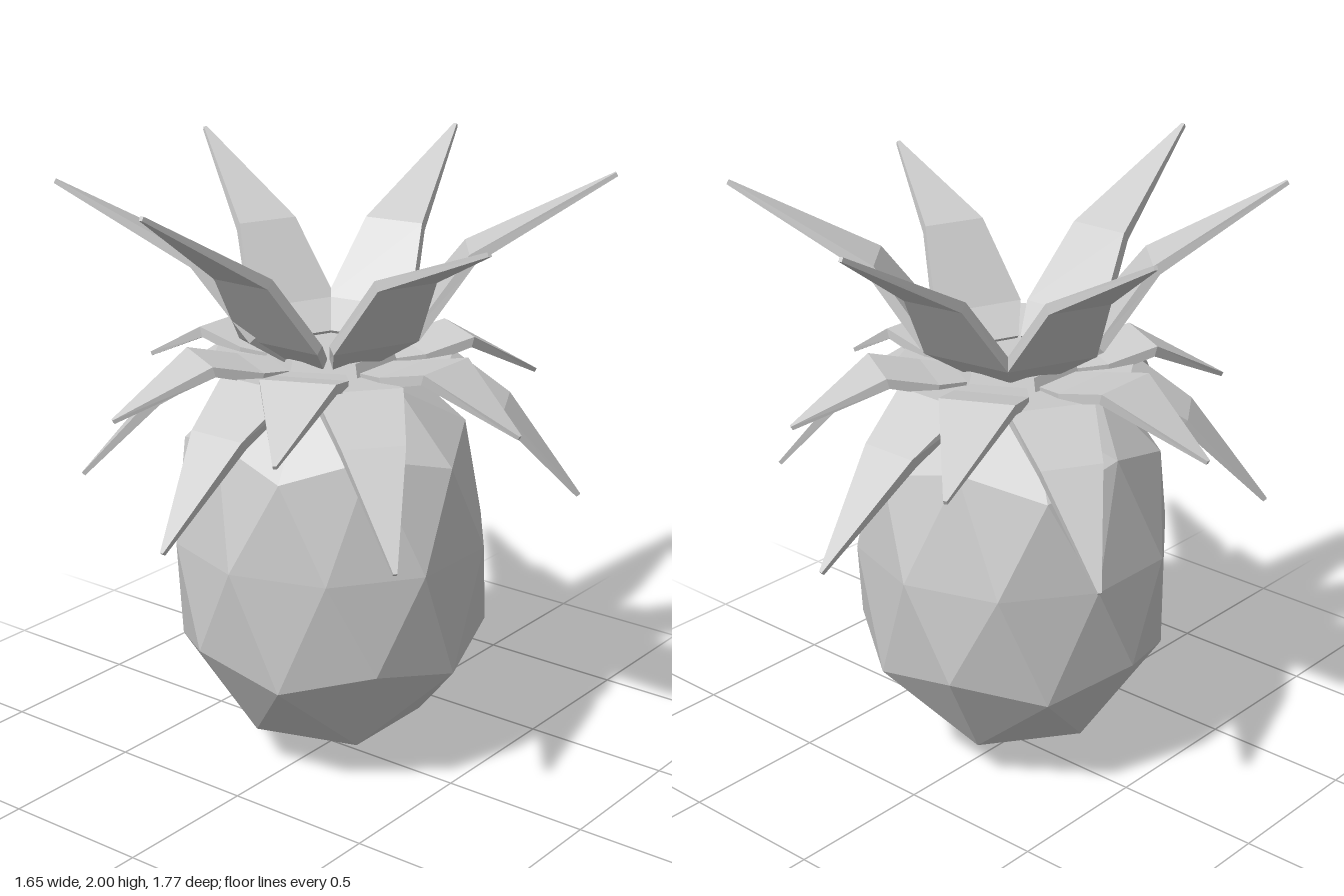
import * as THREE from 'three';

const material = new THREE.MeshStandardMaterial({ color: 0xcccccc, flatShading: true });

// Egg-shaped faceted fruit: a pole-up icosphere whose rings are moved to a profile
function bodyGeometry() {
  const g = new THREE.IcosahedronGeometry(1, 1);
  g.rotateZ(-Math.atan(2 / (1 + Math.sqrt(5))));
  // [sphere height, new height, new radius]
  const rings = [
    [-1, 0, 0], [-0.851, 0.13, 0.3], [-0.526, 0.4, 0.5], [-0.447, 0.47, 0.515], [0, 0.79, 0.525],
    [0.447, 1.1, 0.48], [0.526, 1.17, 0.435], [0.851, 1.32, 0.27], [1, 1.37, 0],
  ];
  const p = g.attributes.position;
  for (let i = 0; i < p.count; i++) {
    const x = p.getX(i), y = p.getY(i), z = p.getZ(i);
    const ring = rings.reduce((a, b) => (Math.abs(b[0] - y) < Math.abs(a[0] - y) ? b : a));
    const k = ring[2] / (Math.hypot(x, z) || 1);
    p.setXYZ(i, x * k, ring[1], z * k);
  }
  g.computeVertexNormals();
  return g;
}

// Bent, tapering blade along +z; profile rows are [reach, height, half width]
function leafGeometry(profile, thickness) {
  const corners = profile.map(([r, y, w], i) => {
    const a = profile[Math.max(i - 1, 0)], b = profile[Math.min(i + 1, profile.length - 1)];
    const len = Math.hypot(b[0] - a[0], b[1] - a[1]);
    const t = i === profile.length - 1 ? thickness * 0.4 : thickness;
    const dz = ((b[1] - a[1]) / len) * t, dy = (-(b[0] - a[0]) / len) * t;
    return [[-w, y, r], [w, y, r], [w, y + dy, r + dz], [-w, y + dy, r + dz]];
  });
  const v = [];
  const tri = (...pts) => pts.forEach((q) => v.push(...q));
  for (let i = 0; i < corners.length - 1; i++) {
    const a = corners[i], b = corners[i + 1];
    for (let j = 0; j < 4; j++) {
      const k = (j + 1) % 4;
      tri(a[j], b[j], a[k]);
      tri(a[k], b[j], b[k]);
    }
  }
  const s = corners[0], e = corners[corners.length - 1];
  tri(s[0], s[1], s[2]); tri(s[0], s[2], s[3]);
  tri(e[0], e[2], e[1]); tri(e[0], e[3], e[2]);
  const g = new THREE.BufferGeometry();
  g.setAttribute('position', new THREE.Float32BufferAttribute(v, 3));
  g.computeVertexNormals();
  return g;
}

// A tier of leaves sharing a profile, each ending at its own tip [x, y, z]
function leafTier(name, profile, tips, thickness) {
  const tier = new THREE.Group();
  tier.name = name;
  tips.forEach(([x, y, z]) => {
    const leaf = new THREE.Mesh(
      leafGeometry([...profile, [Math.hypot(x, z), y, 0.006]], thickness), material);
    leaf.rotation.y = Math.atan2(x, z);
    leaf.name = name.replace('Leaves', 'Leaf');
    tier.add(leaf);
  });
  return tier;
}

export function createModel() {
  const group = new THREE.Group();
  group.name = 'pineapple';

  const body = new THREE.Mesh(bodyGeometry(), material);
  body.name = 'fruitBody';
  group.add(body);

  // Core that the leaves grow from
  const core = new THREE.Mesh(new THREE.CylinderGeometry(0.2, 0.24, 0.12, 6), material);
  core.position.y = 1.35;
  core.name = 'crownCore';
  group.add(core);

  // Tall leaves rising outward
  group.add(leafTier('upperLeaves',
    [[0.14, 1.42, 0.09], [0.25, 1.5, 0.155], [0.43, 1.74, 0.105]],
    [[0.01, 2, 0.88], [0.81, 1.91, 0.32], [0.7, 1.98, -0.55],
      [-0.14, 1.99, -0.88], [-0.82, 1.98, -0.34], [-0.61, 1.98, 0.6]], 0.035));

  // Short leaves that arch and dip slightly
  group.add(leafTier('middleLeaves',
    [[0.12, 1.37, 0.07], [0.28, 1.39, 0.12], [0.45, 1.43, 0.12]],
    [[0.73, 1.26, 0], [0.31, 1.26, 0.67], [-0.36, 1.26, 0.65],
      [-0.77, 1.26, 0.02], [-0.37, 1.26, -0.72], [0.38, 1.26, -0.63]], 0.035));

  // Drooping leaves over the shoulders of the fruit
  group.add(leafTier('lowerLeaves',
    [[0.12, 1.36, 0.08], [0.38, 1.38, 0.14], [0.57, 1.26, 0.1]],
    [[0, 0.96, 0.83], [0.65, 0.96, 0.53], [0.72, 0.96, -0.38],
      [0.01, 0.96, -0.87], [-0.71, 0.96, -0.42], [-0.69, 0.96, 0.46]], 0.035));

  return group;
}
